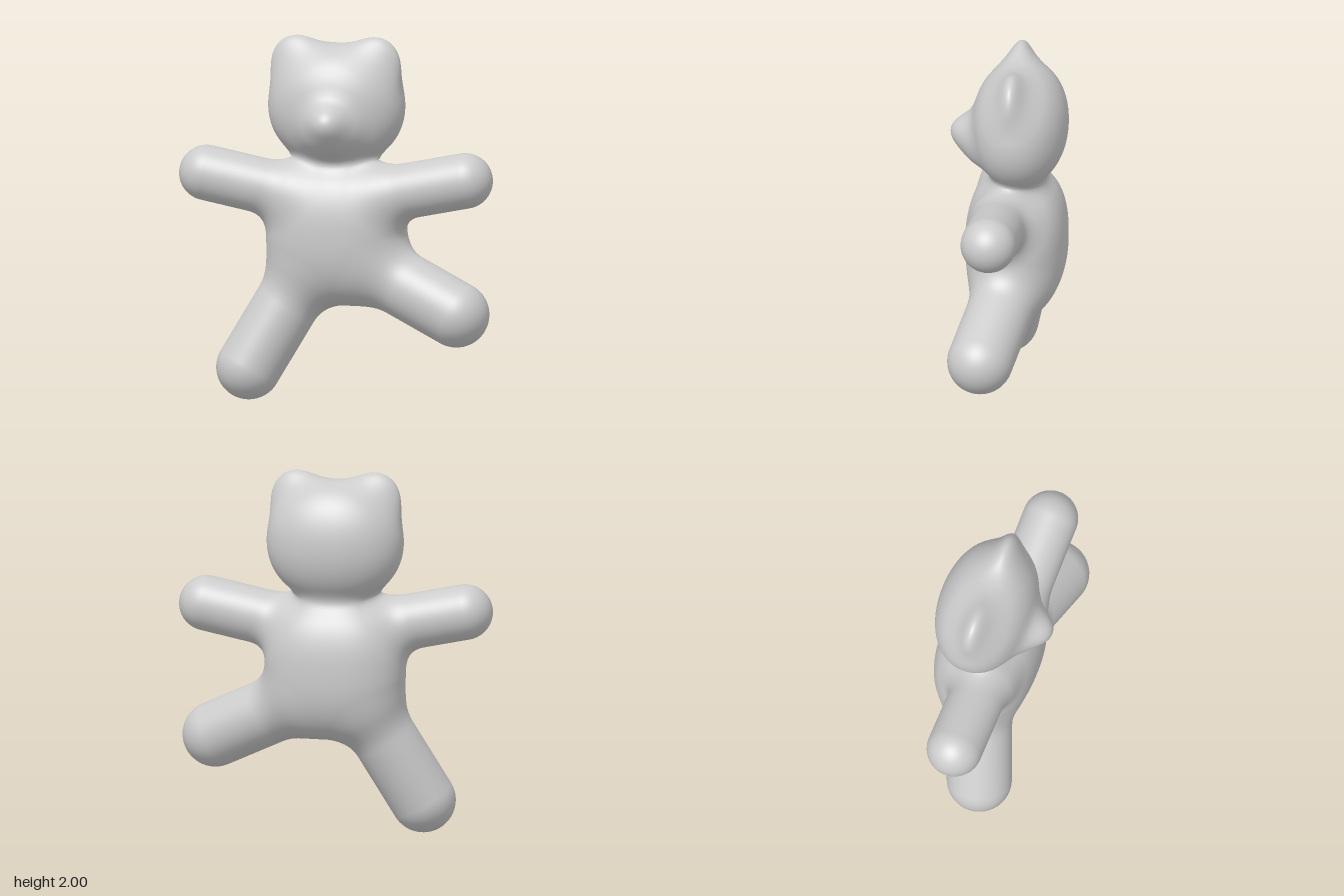
import * as THREE from 'three';

const V = (x, y, z) => new THREE.Vector3(x, y, z);

// Rounded mass: n = 2 is an ellipsoid, larger n is boxier
function blob(name, center, radii, n = 2) {
  const size = (q) => Math.pow(q.reduce((s, a) => s + Math.pow(Math.abs(a), n), 0), 1 / n);
  const c = center.toArray(), r = radii.toArray();
  const dist = (p) => {
    const q = [(p.x - c[0]) / r[0], (p.y - c[1]) / r[1], (p.z - c[2]) / r[2]];
    const f = Math.max(size(q), 1e-4);
    const g = q.map((a, i) => Math.pow(Math.abs(a) / f, n - 1) / r[i]);
    return (f - 1) / Math.hypot(...g);
  };
  const geometry = new THREE.SphereGeometry(1, 80, 60);
  const pos = geometry.attributes.position;
  for (let i = 0; i < pos.count; i++) {
    const v = V().fromBufferAttribute(pos, i);
    v.divideScalar(size(v.toArray())).multiply(radii).add(center);
    pos.setXYZ(i, v.x, v.y, v.z);
  }
  return { name, dist, geometry };
}

// Round-ended limb from the body to its tip
function limb(name, from, to, r) {
  const axis = to.clone().sub(from), len = axis.length();
  const dist = (p) => {
    const d = p.clone().sub(from);
    const t = THREE.MathUtils.clamp(d.dot(axis) / (len * len), 0, 1);
    return d.addScaledVector(axis, -t).length() - r;
  };
  const geometry = new THREE.CapsuleGeometry(r, len, 16, 48, 28);
  geometry.applyQuaternion(new THREE.Quaternion().setFromUnitVectors(V(0, 1, 0), axis.clone().normalize()));
  const mid = from.clone().add(to).multiplyScalar(0.5);
  geometry.translate(mid.x, mid.y, mid.z);
  return { name, dist, geometry };
}

// Soft union that fillets the joins
function softMin(a, b, k) {
  const h = Math.max(k - Math.abs(a - b), 0) / k;
  return Math.min(a, b) - h * h * k * 0.25;
}

export function createModel() {
  const group = new THREE.Group();
  group.name = 'teddyBear';
  const material = new THREE.MeshStandardMaterial({ color: 0xcccccc });

  const parts = [
    blob('torso', V(-0.01, 0.92, -0.042), V(0.385, 0.4, 0.277), 2.4),
    blob('head', V(-0.013, 1.62, -0.06), V(0.377, 0.34, 0.262), 2.1),
    blob('muzzle', V(-0.01, 1.52, 0.15), V(0.13, 0.13, 0.12)),
    blob('nose', V(-0.01, 1.56, 0.255), V(0.055, 0.05, 0.055)),
    limb('rightLeg', V(-0.2, 0.66, -0.03), V(-0.475, 0.178, 0.075), 0.178),
    limb('leftLeg', V(0.2, 0.73, -0.03), V(0.68, 0.503, 0.075), 0.18),
  ];
  // Mirrored arms and ears
  for (const [side, s] of [['left', 1], ['right', -1]]) {
    parts.push(limb(side + 'Arm', V(s * 0.28, 1.145, 0.02), V(s * 0.718, 1.235, 0.025), 0.152));
    parts.push(blob(side + 'Ear', V(-0.013 + s * 0.222, 1.865, -0.038), V(0.13, 0.135, 0.062)));
  }

  const field = (p) => parts.reduce((d, part) => softMin(d, part.dist(p), 0.11), 10);
  const gradient = (p) => {
    const e = 0.004;
    const slope = (x, y, z) => field(V(p.x + x, p.y + y, p.z + z)) - field(V(p.x - x, p.y - y, p.z - z));
    return V(slope(e, 0, 0), slope(0, e, 0), slope(0, 0, e)).normalize();
  };

  // Push each part's skin onto the filleted surface; buried skin stays put
  for (const part of parts) {
    const pos = part.geometry.attributes.position;
    const nor = part.geometry.attributes.normal;
    const others = parts.filter((o) => o !== part);
    for (let i = 0; i < pos.count; i++) {
      const p = V().fromBufferAttribute(pos, i);
      if (others.some((o) => o.dist(p) < -0.05)) continue;
      for (let step = 0; step < 4; step++) p.addScaledVector(gradient(p), -field(p));
      pos.setXYZ(i, p.x, p.y, p.z);
      const n = gradient(p);
      nor.setXYZ(i, n.x, n.y, n.z);
    }
    const mesh = new THREE.Mesh(part.geometry, material);
    mesh.name = part.name;
    group.add(mesh);
  }
  return group;
}
